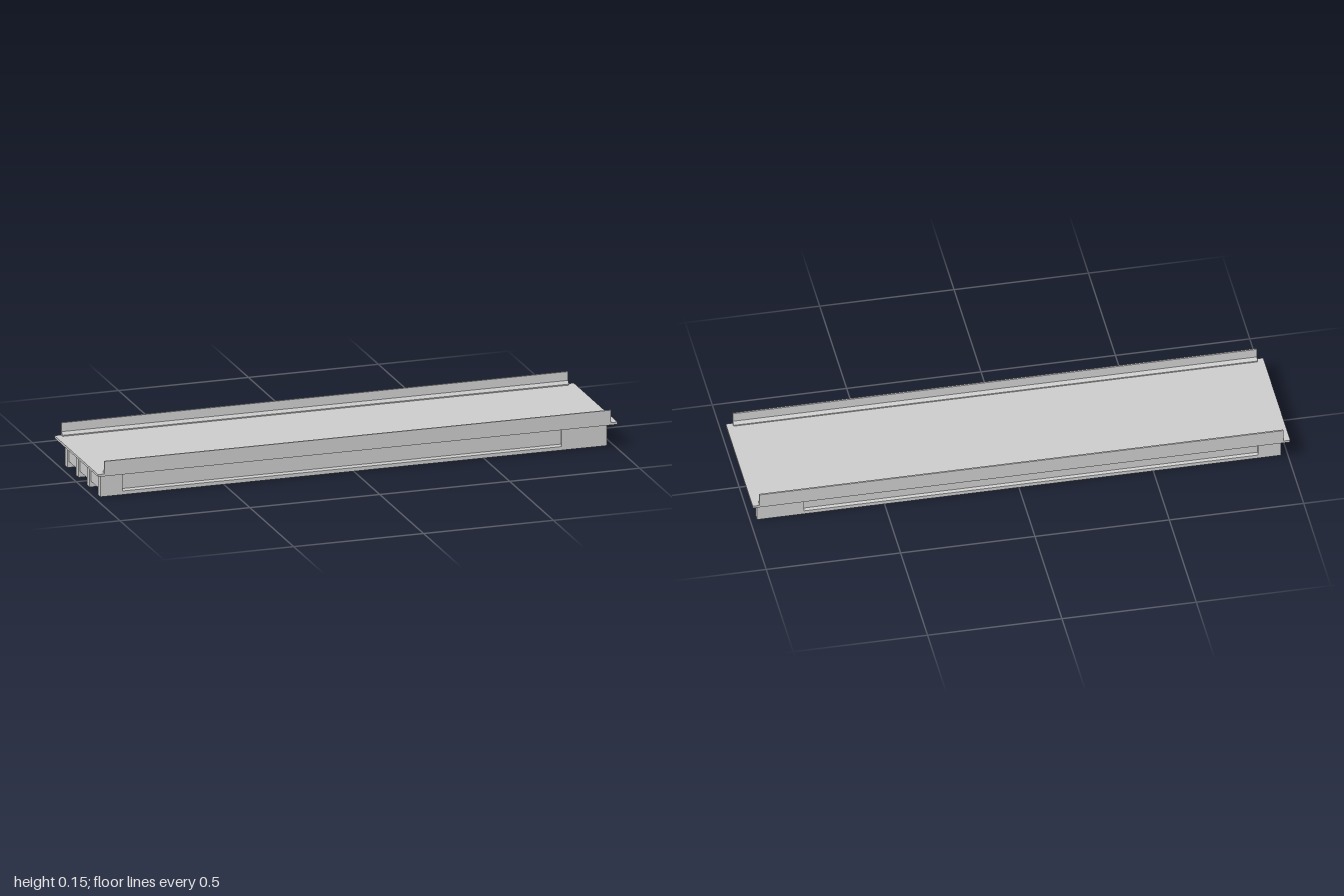
import * as THREE from 'three';

const grey = new THREE.MeshStandardMaterial({ color: 0xcccccc, flatShading: true });

// Prism with a [z, y] cross-section running along x from x0 to x1
function prism(name, section, x0, x1) {
  const shape = new THREE.Shape(section.map(([z, y]) => new THREE.Vector2(-z, y)));
  const geo = new THREE.ExtrudeGeometry(shape, { depth: x1 - x0, bevelEnabled: false });
  geo.rotateY(Math.PI / 2).translate(x0, 0, 0);
  const mesh = new THREE.Mesh(geo, grey);
  mesh.name = name;
  return mesh;
}

function box(name, w, h, d, x, y, z) {
  const mesh = new THREE.Mesh(new THREE.BoxGeometry(w, h, d), grey);
  mesh.name = name;
  mesh.position.set(x, y, z);
  return mesh;
}

// Close a half section by mirroring it about z = 0
const mirrored = (half) => [...half, ...half.map(([z, y]) => [-z, y]).reverse()];

export function createModel() {
  const model = new THREE.Group();
  model.name = 'bridgeSpan';

  const deckBottom = 0.093, deckTop = 0.102, girderEnd = 0.975;
  const webStart = -0.89, webEnd = 0.8;

  // Deck slab
  model.add(box('deck', 2, deckTop - deckBottom, 0.5, 0, (deckTop + deckBottom) / 2, 0));

  // Parapets with a sloped inner foot
  const parapet = [[0.25, deckTop], [0.25, 0.15], [0.2435, 0.15], [0.2415, 0.117], [0.231, 0.106], [0.231, deckTop]];
  for (const s of [1, -1]) {
    model.add(prism(s > 0 ? 'frontParapet' : 'backParapet', parapet.map(([z, y]) => [z * s, y]), -girderEnd, girderEnd));
  }

  // Girders: solid end blocks and a thin-webbed middle
  const blockSection = mirrored([[0.015, 0], [0.015, 0.083], [0.026, 0.086], [0.026, deckBottom]]);
  const webSection = mirrored([[0.015, 0], [0.015, 0.014], [0.007, 0.021], [0.007, 0.081], [0.026, 0.086], [0.026, deckBottom]]);
  const girderZ = [-0.1875, -0.0625, 0.0625, 0.1875];
  for (const z of girderZ) {
    const girder = new THREE.Group();
    girder.name = 'girder';
    girder.position.z = z;
    girder.add(
      prism('endBlock', blockSection, -girderEnd, webStart),
      prism('web', webSection, webStart, webEnd),
      prism('endBlock', blockSection, webEnd, girderEnd)
    );
    model.add(girder);
  }

  // Cross diaphragms between neighbouring girders
  for (const x of [-0.96, -0.48, 0, 0.48, 0.96]) {
    for (const z of [-0.125, 0, 0.125]) {
      model.add(box('diaphragm', 0.02, deckBottom - 0.023, 0.112, x, (deckBottom + 0.023) / 2, z));
    }
  }
  return model;
}
